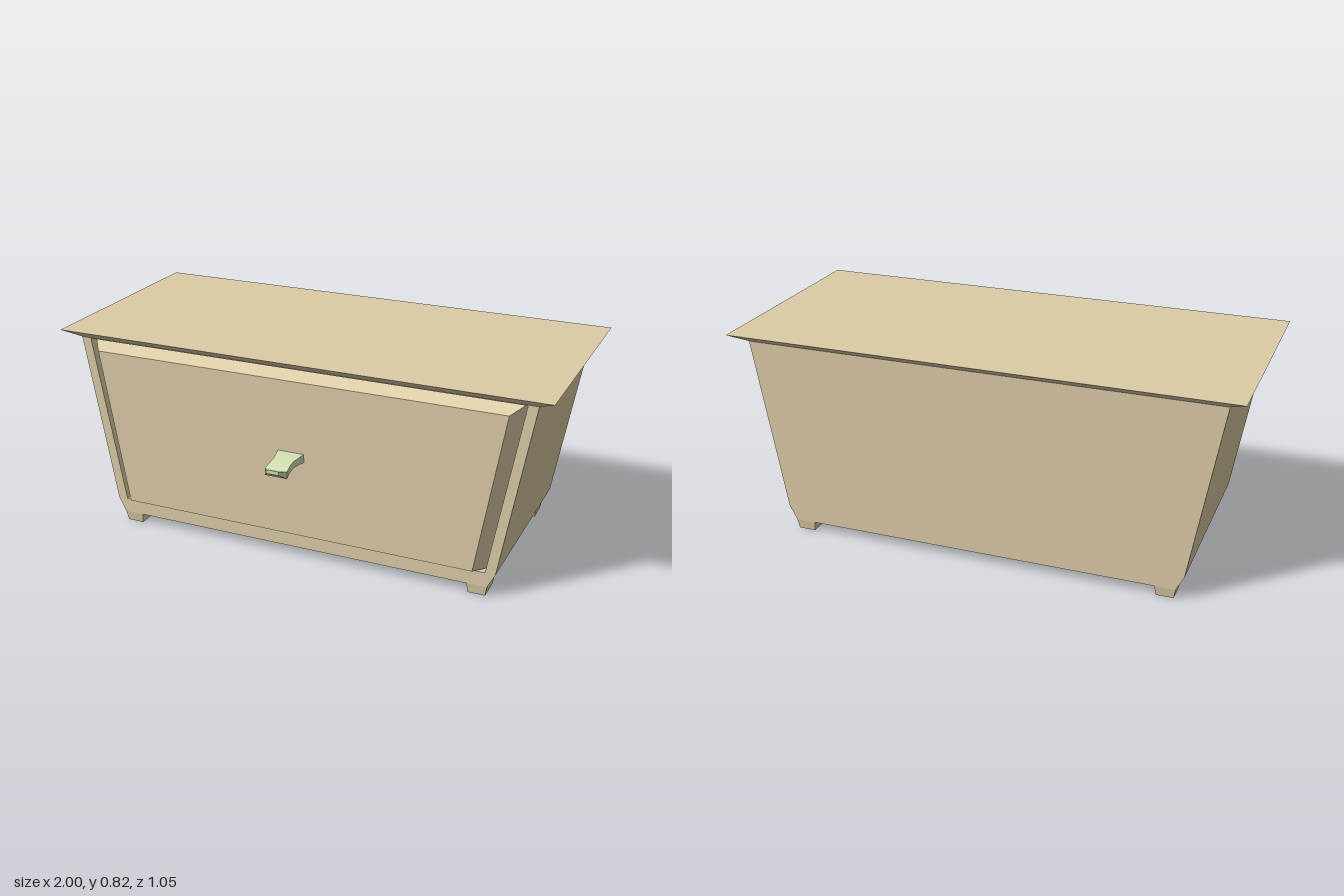
import * as THREE from 'three';

const wood = new THREE.MeshStandardMaterial({ color: 0xdccca6, flatShading: true });
const green = new THREE.MeshStandardMaterial({ color: 0xd2e0b2, flatShading: true });

// Skin a row of four-cornered rings (counter-clockwise seen from the last ring) and cap both ends
function loft(rings) {
  const pos = [];
  const quad = (a, b, c, d) => pos.push(...a, ...b, ...c, ...a, ...c, ...d);
  for (let i = 0; i < rings.length - 1; i++) {
    for (let j = 0; j < 4; j++) {
      const k = (j + 1) % 4;
      quad(rings[i][j], rings[i][k], rings[i + 1][k], rings[i + 1][j]);
    }
  }
  const s = rings[0], e = rings[rings.length - 1];
  quad(s[3], s[2], s[1], s[0]);
  quad(e[0], e[1], e[2], e[3]);
  const g = new THREE.BufferGeometry();
  g.setAttribute('position', new THREE.Float32BufferAttribute(pos, 3));
  g.computeVertexNormals();
  return g;
}

// Horizontal rectangle at height y
const flatRing = (y, x0, x1, z0, z1) => [[x1, y, z1], [x1, y, z0], [x0, y, z0], [x0, y, z1]];
// Upright symmetric trapezoid at depth z
const uprightRing = (z, bottomHalf, topHalf, y0, y1) =>
  [[-bottomHalf, y0, z], [bottomHalf, y0, z], [topHalf, y1, z], [-topHalf, y1, z]];

// Mirror a right-hand edge, listed bottom to top, into a closed outline
function mirrored(edge) {
  const left = edge.map(([x, y]) => [-x, y]).reverse();
  return [...edge, ...left].map(([x, y]) => new THREE.Vector2(x, y));
}

export function createModel() {
  const model = new THREE.Group();
  const add = (name, geometry, material = wood) => {
    const mesh = new THREE.Mesh(geometry, material);
    mesh.name = name;
    model.add(mesh);
    return mesh;
  };
  const slab = (shape, z0, z1) =>
    new THREE.ExtrudeGeometry(shape, { depth: z1 - z0, bevelEnabled: false }).translate(0, 0, z0);

  // Tapered cabinet with a shallow recess for the drawer
  const outline = mirrored([[0.785, 0.04], [0.815, 0.098], [0.935, 0.79]]);
  add('cabinetBody', slab(new THREE.Shape(outline), -0.47, 0.295));
  const frame = new THREE.Shape(outline);
  frame.holes.push(new THREE.Path(mirrored([[0.775, 0.1], [0.895, 0.787]])));
  add('frontFrame', slab(frame, 0.295, 0.33));

  // Top board with an undercut edge
  add('topBoard', loft([
    flatRing(0.79, -0.935, 0.935, -0.47, 0.33),
    flatRing(0.825, -1, 1, -0.525, 0.382),
  ]));

  // Drawer front with bevelled sides
  add('drawerFront', loft([
    uprightRing(0.295, 0.772, 0.893, 0.102, 0.786),
    uprightRing(0.365, 0.735, 0.84, 0.115, 0.753),
  ]));

  // Curved pull: depth, half width, bottom and top heights
  add('drawerPull', loft([
    [0.36, 0.055, 0.432, 0.465],
    [0.43, 0.042, 0.434, 0.46],
    [0.46, 0.042, 0.428, 0.455],
    [0.495, 0.045, 0.417, 0.446],
    [0.525, 0.025, 0.44, 0.455],
  ].map(([z, half, y0, y1]) => uprightRing(z, half, half, y0, y1))), green);

  // Four short tapered feet
  for (const side of [-1, 1]) {
    for (const [end, z0, z1, taper0, taper1] of [
      ['front', 0.23, 0.33, -0.005, -0.006],
      ['back', -0.47, -0.38, 0.006, 0.003],
    ]) {
      const xs = (a, b) => (side > 0 ? [a, b] : [-b, -a]);
      add(`${end}${side > 0 ? 'Left' : 'Right'}Foot`, loft([
        flatRing(0, ...xs(0.71, 0.778), z0 + taper0, z1 + taper1),
        flatRing(0.042, ...xs(0.705, 0.786), z0, z1),
      ]));
    }
  }
  return model;
}
